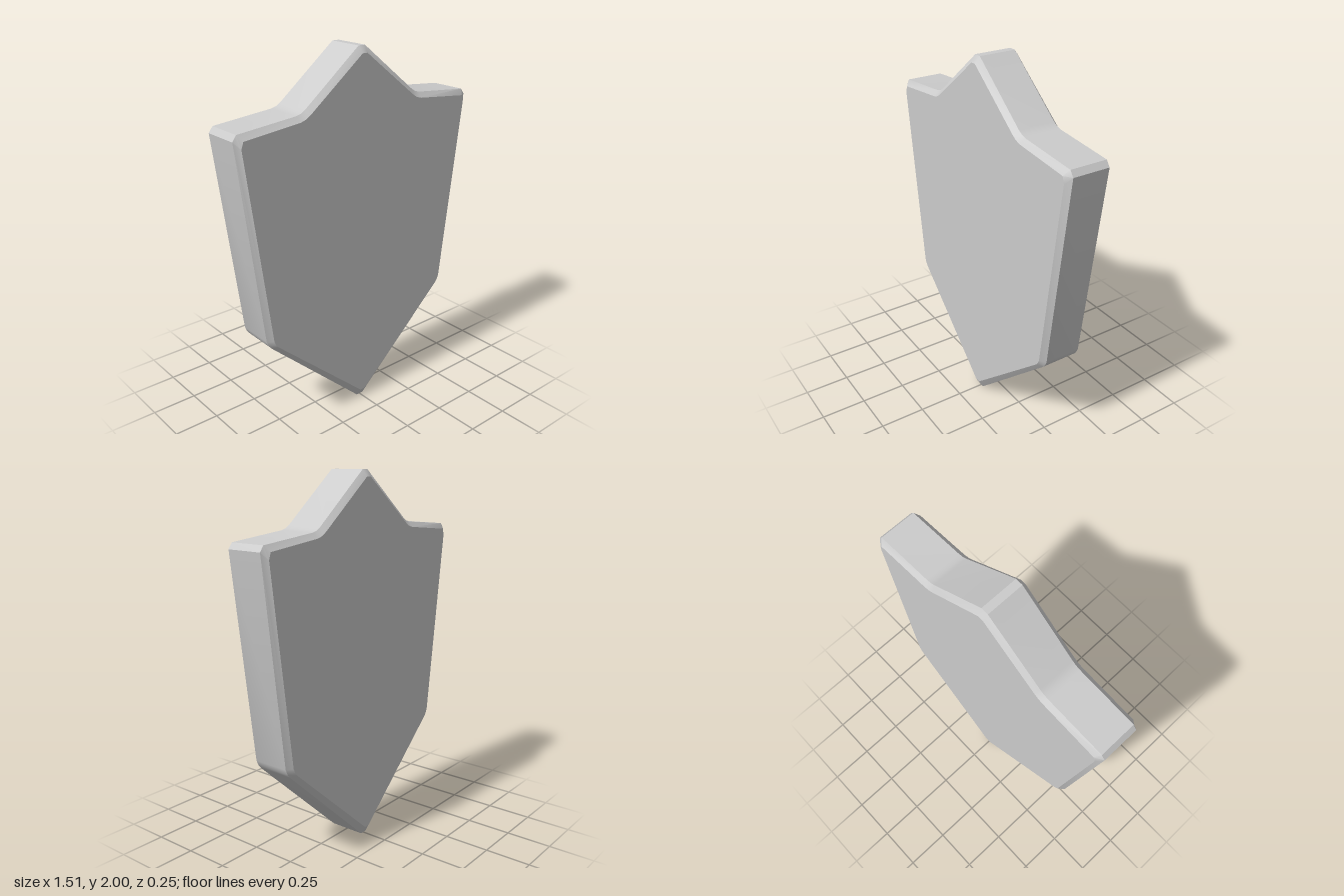
import * as THREE from 'three';
import { toCreasedNormals } from 'three/addons/utils/BufferGeometryUtils.js';

// Right half of each outline, bottom to top
const RIM = [[0.02, 0], [0.595, 0.535], [0.612, 0.555], [0.625, 0.585], [0.757, 1.655], [0.735, 1.685],
  [0.405, 1.715], [0.375, 1.723], [0.35, 1.738], [0.02, 2]];
const FACE = [[0.015, 0.045], [0.57, 0.545], [0.585, 0.563], [0.595, 0.588], [0.727, 1.62], [0.715, 1.655],
  [0.395, 1.688], [0.363, 1.698], [0.335, 1.716], [0.015, 1.965]];

// Mirror a half outline into a closed counter-clockwise loop
function closeOutline(half) {
  return [...half, ...half.map(([x, y]) => [-x, y]).reverse()];
}

// Loft through the rings from back to front, then cap both ends
function loftShield(rings) {
  const n = rings[0].outline.length;
  const positions = rings.flatMap(({ outline, z }) => outline.flatMap(([x, y]) => [x, y, z]));
  const index = [];
  for (let r = 0; r < rings.length - 1; r++) {
    for (let i = 0; i < n; i++) {
      const j = (i + 1) % n;
      const a = r * n + i, b = r * n + j, c = (r + 1) * n + j, d = (r + 1) * n + i;
      index.push(a, b, c, a, c, d);
    }
  }
  const last = (rings.length - 1) * n;
  const contour = rings[0].outline.map(([x, y]) => new THREE.Vector2(x, y));
  for (const [a, b, c] of THREE.ShapeUtils.triangulateShape(contour, [])) {
    index.push(a, c, b, last + a, last + b, last + c);
  }
  const geometry = new THREE.BufferGeometry();
  geometry.setAttribute('position', new THREE.Float32BufferAttribute(positions, 3));
  geometry.setIndex(index);
  return toCreasedNormals(geometry, 0.5);
}

export function createModel() {
  const group = new THREE.Group();
  group.name = 'shield';
  const rim = closeOutline(RIM), face = closeOutline(FACE);

  // Flat plate with a chamfer around both faces
  const plate = new THREE.Mesh(
    loftShield([
      { outline: face, z: -0.125 },
      { outline: rim, z: -0.1 },
      { outline: rim, z: 0.1 },
      { outline: face, z: 0.125 },
    ]),
    new THREE.MeshStandardMaterial({ color: 0xcccccc })
  );
  plate.name = 'shieldPlate';
  group.add(plate);
  return group;
}
